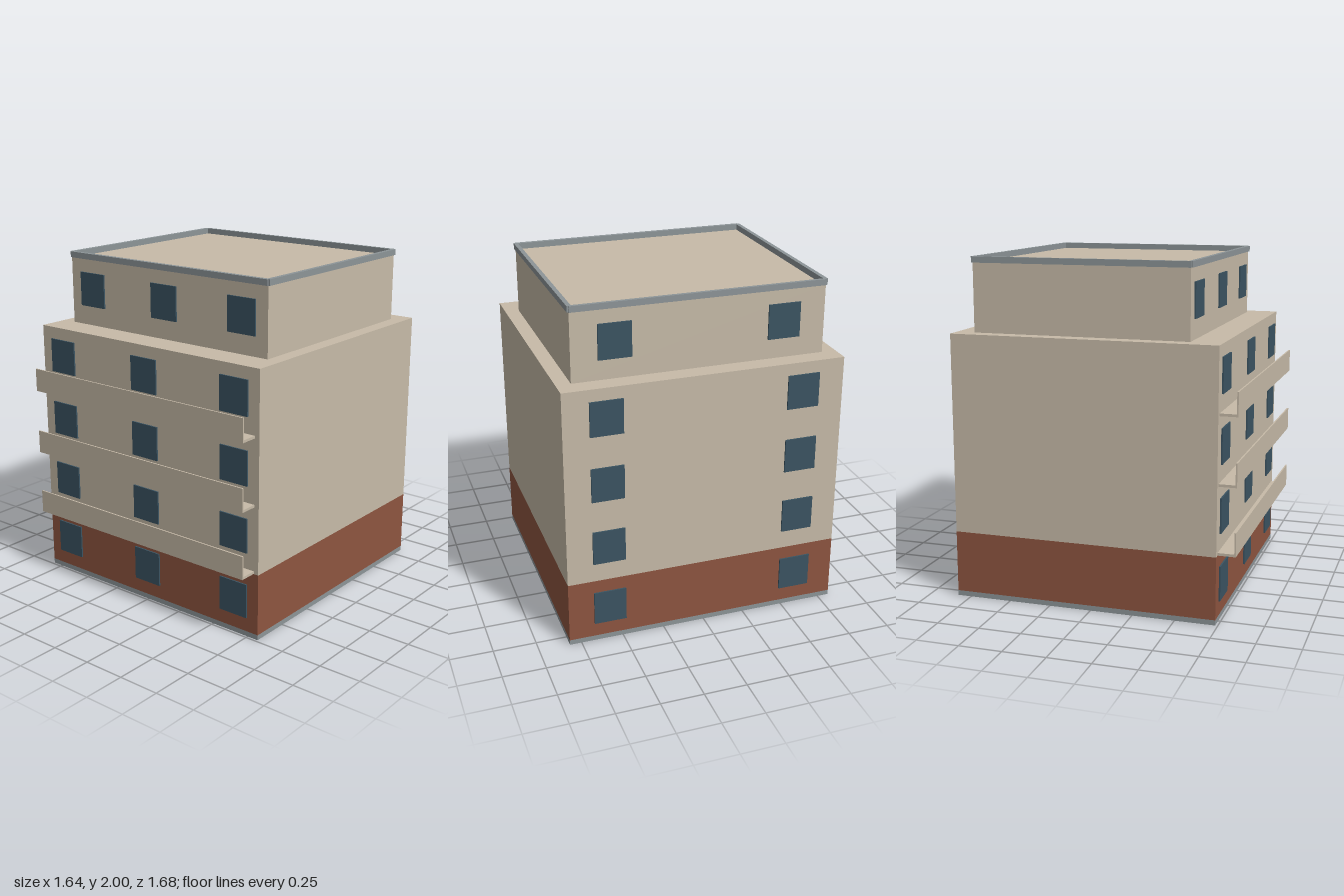
import * as THREE from 'three';

const mat = (name, color) => {
  const m = new THREE.MeshStandardMaterial({ color });
  m.name = name;
  return m;
};

export function createModel() {
  const wall = mat('wall beige', 0xc7bba8);
  const brick = mat('brick red', 0x8e5540);
  const glass = mat('window blue', 0x3b5462);
  const trim = mat('trim grey', 0x8d9598);

  const building = new THREE.Group();
  building.name = 'apartmentBuilding';

  // Box given by its extents along each axis
  function box(name, material, [x0, x1], [y0, y1], [z0, z1], parent = building) {
    const mesh = new THREE.Mesh(new THREE.BoxGeometry(x1 - x0, y1 - y0, z1 - z0), material);
    mesh.position.set((x0 + x1) / 2, (y0 + y1) / 2, (z0 + z1) / 2);
    mesh.name = name;
    parent.add(mesh);
  }

  // Stacked storeys
  const bodyX = [-0.82, 0.82], bodyZ = [-0.832, 0.735];
  const topX = [-0.735, 0.735], topZ = [-0.72, 0.555];
  box('plinth', trim, bodyX, [0, 0.03], bodyZ);
  box('groundFloor', brick, bodyX, [0.03, 0.395], bodyZ);
  box('upperFloors', wall, bodyX, [0.395, 1.567], bodyZ);
  box('penthouse', wall, topX, [1.567, 1.965], topZ);

  // Roof parapet, with small notches at the corners
  const parapet = new THREE.Group();
  parapet.name = 'roofParapet';
  building.add(parapet);
  const rim = [1.965, 2];
  box('parapetFront', trim, topX, rim, [0.54, 0.565], parapet);
  box('parapetBack', trim, topX, rim, [-0.73, -0.71], parapet);
  for (const s of [-1, 1]) {
    const xs = [s * 0.72, s * 0.745].sort((a, b) => a - b);
    box(s > 0 ? 'parapetLeft' : 'parapetRight', trim, xs, rim, topZ, parapet);
  }

  // Window panes: three across the front, two across the back
  const windows = new THREE.Group();
  windows.name = 'windows';
  building.add(windows);
  const row = (name, xs, y, z0, z1) => {
    for (const x of xs) box(name, glass, [x - 0.095, x + 0.095], [y, y + 0.203], [z0, z1], windows);
  };
  for (const y of [0.115, 0.508, 0.9, 1.293]) {
    row('frontWindow', [-0.65, 0, 0.65], y, 0.735, 0.744);
    row('backWindow', [-0.575, 0.575], y, -0.841, -0.832);
  }
  row('penthouseFrontWindow', [-0.563, 0, 0.56], 1.682, 0.555, 0.564);
  row('penthouseBackWindow', [-0.49, 0.49], 1.682, -0.729, -0.72);

  // Balconies: floor slab and front guard, open at the ends
  for (const y of [0.397, 0.789, 1.181]) {
    const balcony = new THREE.Group();
    balcony.name = 'balcony';
    building.add(balcony);
    box('balconySlab', wall, [-0.79, 0.79], [y, y + 0.015], [0.735, 0.838], balcony);
    box('balconyGuard', wall, [-0.79, 0.79], [y + 0.015, y + 0.138], [0.829, 0.838], balcony);
  }

  return building;
}
